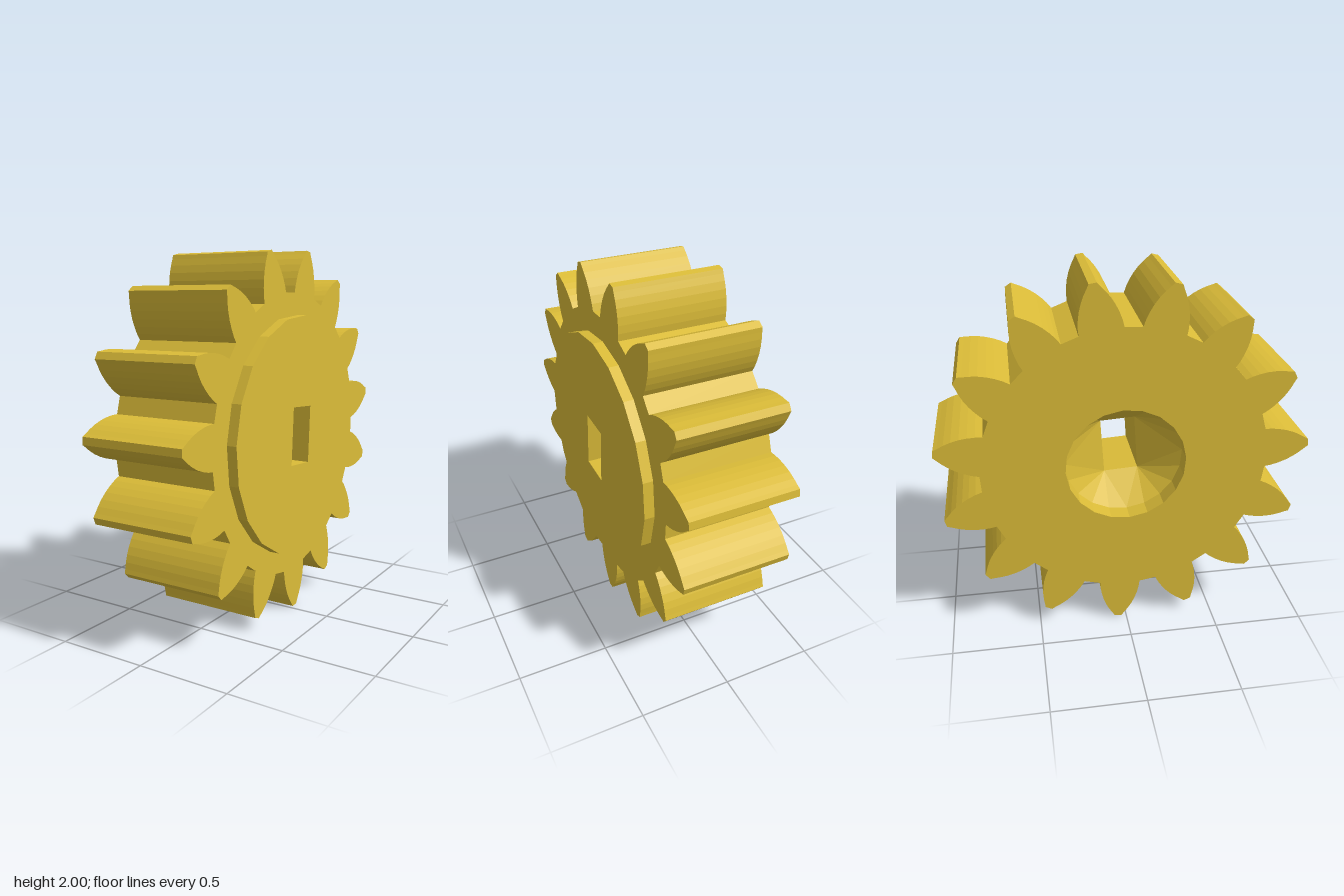
import * as THREE from 'three';

const TEETH = 15, SIDES = 20;
const BACK = -0.325, DISC = 0.27, FRONT = 0.325; // positions along the axle
const BORE_R = 0.325, BORE_END = -0.225, SLOT_START = -0.07;
const SLOT_W = 0.095, SLOT_H = 0.158; // half sizes

const ring = (r) => Array.from({ length: SIDES }, (_, i) => {
  const a = (i / SIDES) * Math.PI * 2;
  return new THREE.Vector2(r * Math.cos(a), r * Math.sin(a));
});

const slotCorners = [[1, 1], [-1, 1], [-1, -1], [1, -1]]
  .map(([x, y]) => new THREE.Vector2(x * SLOT_W, y * SLOT_H));

// Outline of all teeth; each flank is [distance from axle, half width]
function gearOutline() {
  const flank = [[0.762, 0.114], [0.80, 0.111], [0.84, 0.103], [0.88, 0.091],
    [0.92, 0.074], [0.955, 0.054], [0.985, 0.033], [1.005, 0.02]];
  const tooth = [
    ...flank.map(([r, w]) => new THREE.Vector2(r, -w)),
    ...flank.map(([r, w]) => new THREE.Vector2(r, w)).reverse(),
  ];
  const points = [];
  for (let i = 0; i < TEETH; i++) {
    const a = ((i + 0.5) / TEETH) * Math.PI * 2;
    for (const p of tooth) points.push(p.clone().rotateAround(new THREE.Vector2(), a));
  }
  return points;
}

function plate(outline, hole, from, to) {
  const shape = new THREE.Shape(outline);
  shape.holes.push(new THREE.Path(hole));
  const geometry = new THREE.ExtrudeGeometry(shape, { depth: to - from, bevelEnabled: false });
  return geometry.translate(0, 0, from);
}

// Faceted funnel from the round bore to the rectangular slot, then the slot walls
function socketGeometry() {
  const at = (points, w) => points.map((p) => new THREE.Vector3(p.x, p.y, w));
  const circle = at(ring(BORE_R), BORE_END);
  const inner = at(slotCorners, SLOT_START);
  const outer = at(slotCorners, DISC);
  const points = [];
  for (let i = 0; i < SIDES; i++) {
    const q = Math.floor((i * 4) / SIDES);
    points.push(circle[(i + 1) % SIDES], circle[i], inner[q]);
  }
  for (let q = 0; q < 4; q++) {
    const p = (q + 3) % 4;
    points.push(circle[(q * SIDES) / 4], inner[p], inner[q]);
    points.push(inner[p], outer[p], outer[q], inner[p], outer[q], inner[q]);
  }
  const geometry = new THREE.BufferGeometry().setFromPoints(points);
  geometry.computeVertexNormals();
  return geometry;
}

export function createModel() {
  const gold = new THREE.MeshStandardMaterial({ color: 0xdbbc38 });
  gold.name = 'gold';

  const gear = new THREE.Group();
  gear.name = 'gear';
  const add = (name, geometry) => {
    const mesh = new THREE.Mesh(geometry, gold);
    mesh.name = name;
    gear.add(mesh);
  };
  add('toothedBody', plate(gearOutline(), ring(BORE_R), BACK, DISC));
  add('raisedDisc', plate(ring(0.65), slotCorners, DISC, FRONT));
  add('shaftSocket', socketGeometry());
  gear.rotation.z = THREE.MathUtils.degToRad(-3.5);

  // Lay the axle along x
  const axle = new THREE.Group();
  axle.name = 'axleFrame';
  axle.rotation.y = Math.PI / 2;
  axle.position.set(0, 1.005, -0.003);
  axle.add(gear);

  const model = new THREE.Group();
  model.name = 'spurGear';
  model.add(axle);
  return model;
}
